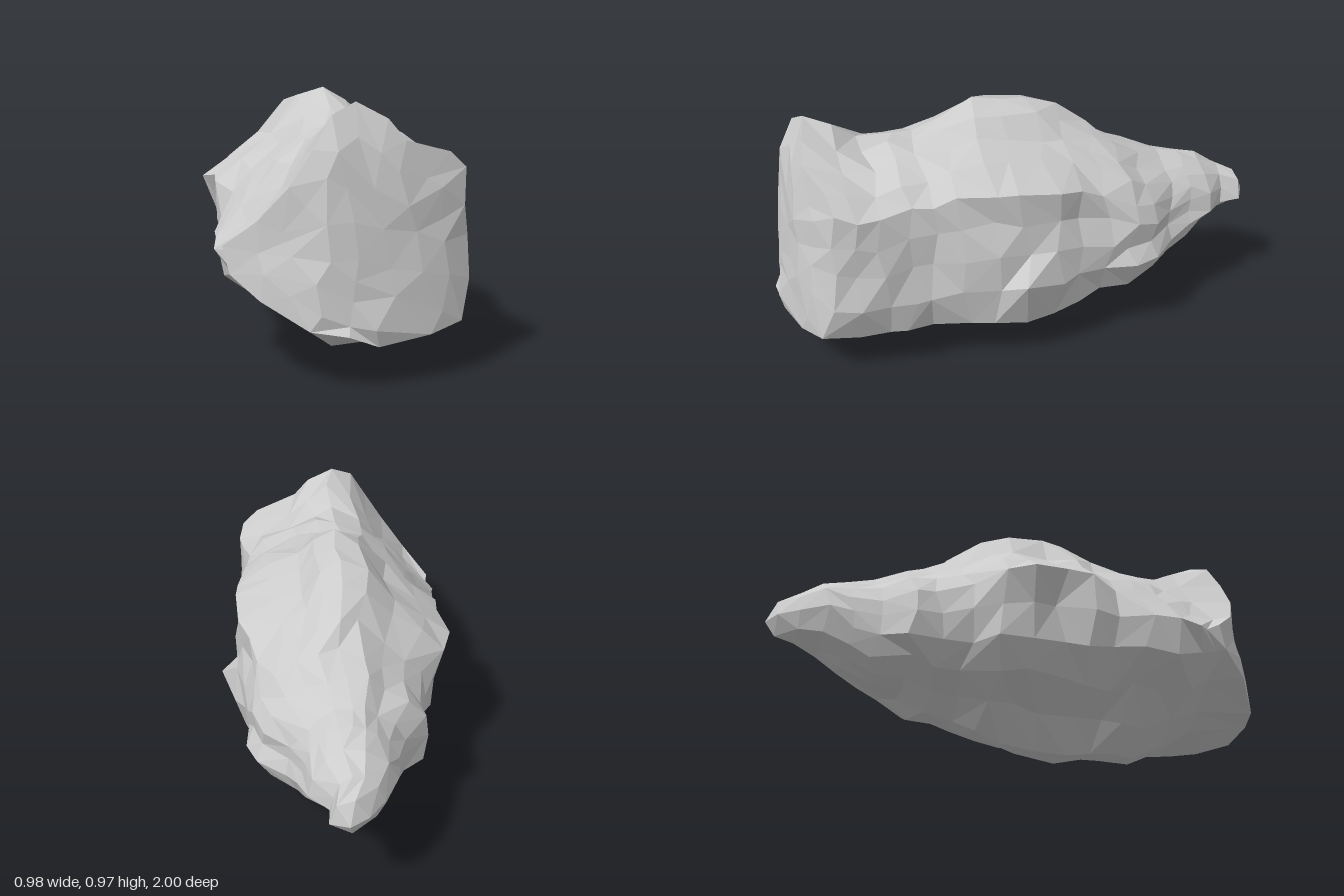
import * as THREE from 'three';

// Cross-section outlines, starting at the top ridge and going round by way of +x
const FRONT = [[-.03, .965], [.06, .9], [.14, .83], [.3, .79], [.37, .73], [.37, .6], [.38, .48], [.39, .33], [.34, .19], [.2, .17],
  [0, .15], [-.1, .16], [-.22, .21], [-.36, .29], [-.46, .37], [-.475, .46], [-.37, .56], [-.28, .68], [-.2, .8], [-.13, .92]];
const FORE = [[-.03, .855], [.06, .845], [.16, .82], [.29, .78], [.37, .71], [.38, .6], [.39, .48], [.4, .34], [.37, .2], [.24, .13],
  [.1, .06], [-.03, .035], [-.15, .13], [-.29, .23], [-.43, .34], [-.485, .46], [-.39, .57], [-.32, .65], [-.24, .73], [-.14, .81]];
const MIDDLE = [[0, .975], [.08, .93], [.14, .85], [.25, .8], [.41, .73], [.4, .6], [.42, .48], [.43, .34], [.4, .17], [.28, .13],
  [.13, .04], [-.03, 0], [-.15, .14], [-.29, .22], [-.38, .34], [-.4, .48], [-.44, .63], [-.34, .71], [-.22, .79], [-.1, .94]];
const BACK = [[0, .71], [.08, .69], [.15, .66], [.22, .62], [.27, .56], [.3, .49], [.32, .42], [.33, .35], [.28, .27], [.18, .23],
  [.08, .2], [-.03, .19], [-.12, .21], [-.22, .26], [-.28, .33], [-.3, .42], [-.28, .51], [-.22, .58], [-.14, .64], [-.07, .69]];

// Where along z each outline holds
const KEYS = [[-.5, unit(BACK)], [.05, unit(MIDDLE)], [.5, unit(FORE)], [.78, unit(FRONT)]];

// Extents along the rock: z, left edge, right edge, underside, top
const STATIONS = [
  [-.96, -.03, .11, .39, .54], [-.88, -.09, .1, .36, .58], [-.79, -.15, .17, .33, .63], [-.7, -.17, .2, .28, .655],
  [-.6, -.21, .24, .22, .67], [-.48, -.31, .34, .2, .72], [-.38, -.31, .38, .14, .77], [-.27, -.33, .385, .11, .84],
  [-.15, -.41, .39, .07, .91], [-.05, -.445, .42, .03, .95], [.08, -.41, .43, .015, .97], [.2, -.445, .42, 0, .975],
  [.31, -.43, .4, .02, .91], [.42, -.48, .385, .04, .86], [.52, -.487, .39, .03, .855], [.62, -.48, .4, .08, .865],
  [.72, -.46, .4, .14, .92]];

const N = FRONT.length;
const { lerp, clamp, smoothstep } = THREE.MathUtils;

// Small seeded random, from -1 to 1
let seed = 7;
function rnd() {
  seed = (seed * 16807) % 2147483647;
  return seed / 1073741823.5 - 1;
}

// Scale an outline to a unit square
function unit(outline) {
  const b = new THREE.Box2().setFromPoints(outline.map(p => new THREE.Vector2(...p)));
  return outline.map(([x, y]) => [(x - b.min.x) / (b.max.x - b.min.x), (y - b.min.y) / (b.max.y - b.min.y)]);
}

// Domed front face, falling back faster on the -x side
const faceZ = (x, y) => .94 + .12 * (.62 - y) - (x < -.1 ? 1.9 : .7) * (x + .1) ** 2 - .4 * Math.max(0, y - .8);

// Merge neighbouring points of a small ring, so its facets stay large
const coarsen = (ring, mask) => ring.map((p, j) => ring[j | mask]);

function bodyRing([z, x0, x1, y0, y1]) {
  const k = clamp(KEYS.findIndex(key => key[0] > z), 1, KEYS.length - 1);
  const [[za, a], [zb, b]] = [KEYS[k - 1], KEYS[k]];
  const t = smoothstep(z, za, zb);
  const rough = .013 * Math.min(1, (z + 1) * 2);
  return a.map(([u, v], j) => {
    const x = lerp(x0, x1, lerp(u, b[j][0], t)) + rough * rnd();
    const y = lerp(y0, y1, lerp(v, b[j][1], t)) + rough * rnd();
    return new THREE.Vector3(x, y, Math.min(z + 2 * rough * rnd(), faceZ(x, y) - .06));
  });
}

function faceRing(s) {
  return FRONT.map(([px, py]) => {
    const x = lerp(-.06, px, s) + .01 * rnd(), y = lerp(.45, py, s) + .01 * rnd();
    return new THREE.Vector3(x, y, faceZ(x, y) + .012 * rnd());
  });
}

function createRings() {
  const body = STATIONS.map(bodyRing);
  body[0] = coarsen(body[0], 3);
  body[1] = coarsen(body[1], 1);
  body[2] = coarsen(body[2], 1);
  // knob on the +x flank
  body[10][7].set(.485, .38, .09);
  // nose low on the front face
  const rim = faceRing(1);
  rim[11].set(-.1, .2, 1);
  return [...body, rim, faceRing(.76), coarsen(faceRing(.5), 1), coarsen(faceRing(.25), 3)];
}

function createRock() {
  const rings = createRings();
  const backTip = new THREE.Vector3(.04, .45, -1);
  const frontTip = new THREE.Vector3(-.06, .45, faceZ(-.06, .45));
  const points = [];
  // merged corners leave no triangle
  const tri = (a, b, c) => { if (a !== b && b !== c && c !== a) points.push(a, b, c); };
  for (let j = 0; j < N; j++) {
    const k = (j + 1) % N;
    tri(backTip, rings[0][j], rings[0][k]);
    for (let i = 0; i < rings.length - 1; i++) {
      const a = rings[i][j], b = rings[i][k], c = rings[i + 1][k], d = rings[i + 1][j];
      // irregular diagonals give the chipped look
      if (rnd() > 0) { tri(a, d, c); tri(a, c, b); }
      else { tri(a, d, b); tri(d, c, b); }
    }
    tri(frontTip, rings.at(-1)[k], rings.at(-1)[j]);
  }
  const geometry = new THREE.BufferGeometry().setFromPoints(points);
  geometry.computeBoundingBox();
  geometry.translate(0, -geometry.boundingBox.min.y, 0);
  geometry.computeVertexNormals();
  return geometry;
}

export function createModel() {
  seed = 7;
  const group = new THREE.Group();
  group.name = 'boulder';
  const rock = new THREE.Mesh(createRock(), new THREE.MeshStandardMaterial({ color: 0xcccccc, flatShading: true }));
  rock.name = 'rock';
  group.add(rock);
  return group;
}
